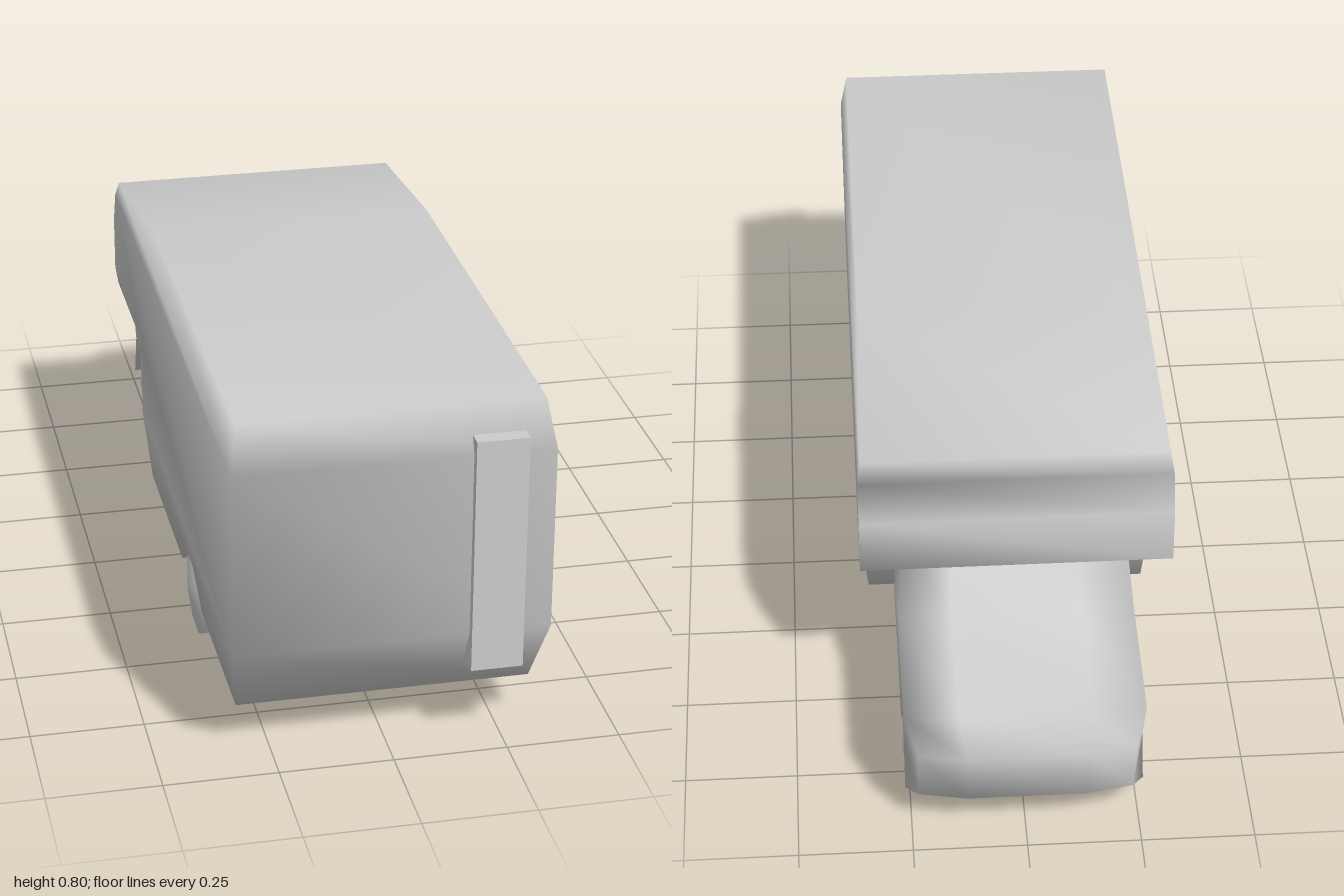
import * as THREE from 'three';

// Solid from a side outline of [z, y] points, counter-clockwise seen from +x.
// bands: index lists that tile the side; at(z, y, t): position across the width.
function sideSolid(outline, bands, columns, at) {
  const n = outline.length;
  const last = columns.length - 1;
  const positions = [];
  const index = [];
  for (const t of columns) {
    for (const [z, y] of outline) positions.push(...at(z, y, t));
  }
  for (let c = 0; c < last; c++) {
    for (let i = 0; i < n; i++) {
      const j = (i + 1) % n;
      const a = c * n, b = a + n;
      index.push(a + i, a + j, b + j, a + i, b + j, b + i);
    }
  }
  for (const band of bands) {
    const flat = band.map((i) => new THREE.Vector2(-outline[i][0], outline[i][1]));
    for (const tri of THREE.ShapeUtils.triangulateShape(flat, [])) {
      if (THREE.ShapeUtils.area(tri.map((k) => flat[k])) < 0) tri.reverse();
      const [p, q, r] = tri.map((k) => band[k]);
      index.push(last * n + p, last * n + q, last * n + r, p, r, q);
    }
  }
  const geometry = new THREE.BufferGeometry();
  geometry.setAttribute('position', new THREE.Float32BufferAttribute(positions, 3));
  geometry.setIndex(index);
  geometry.computeVertexNormals();
  return geometry;
}

export function createModel() {
  const model = new THREE.Group();
  const paint = new THREE.MeshStandardMaterial({ color: 0xcccccc });
  paint.name = 'light grey';

  function add(name, geometry, parent = model) {
    const mesh = new THREE.Mesh(geometry, paint);
    mesh.name = name;
    parent.add(mesh);
    return mesh;
  }

  // Living compartment with the bed overhang and rear wheel arches
  const bodyOutline = [
    [0.89, 0.11], [0.47, 0.105], [0.42, 0.2], [0.27, 0.2], [0.21, 0.105], [-0.22, 0.105],
    [-0.22, 0.28], [-0.22, 0.47], [-0.58, 0.47], [-0.63, 0.49], [-0.63, 0.62],
    [-0.595, 0.7], [-0.57, 0.74], [-0.1, 0.8], [0.94, 0.8], [0.98, 0.7], [0.98, 0.28],
  ];
  const bodyBands = [
    [0, 1, 2, 3, 4, 5, 6, 16],
    [16, 6, 7, 8, 9, 10, 11, 15],
    [15, 11, 12, 13, 14],
  ];
  const bodyWidth = (y) => 0.343 - Math.max(0, 0.28 - y) * 0.12 - Math.max(0, y - 0.7) * 0.16;
  add('body', sideSolid(bodyOutline, bodyBands, [-1, 1], (z, y, t) => [t * bodyWidth(y), y, z]));

  // Cab with bonnet, windscreen slope and front wheel arches
  const cabOutline = [
    [-0.22, 0.075], [-0.65, 0.075], [-0.67, 0.19], [-0.85, 0.19], [-0.885, 0.08],
    [-0.96, 0.11], [-1, 0.26], [-0.93, 0.31], [-0.61, 0.34], [-0.515, 0.475], [-0.22, 0.475],
  ];
  const cabWidth = (z, y) => (z < -0.94 ? 0.235 : y > 0.4 ? 0.25 : 0.262);
  add('cab', sideSolid(cabOutline, [cabOutline.map((_, i) => i)], [-1, -0.55, 0.55, 1], (z, y, t) => {
    const sweep = z < -0.92 && Math.abs(t) === 1 ? 0.02 : 0;
    return [t * cabWidth(z, y), y, z + sweep];
  }));

  // Sloping floor pan behind the cab
  const floorOutline = [[0.21, 0.1], [-0.22, 0.075], [-0.22, 0.13], [0.21, 0.13]];
  add('floorPan', sideSolid(floorOutline, [[0, 1, 2, 3]], [-1, 1], (z, y, t) => [t * 0.24, y, z]));

  // Raised upright panel on the end wall
  const panel = add('endPanel', new THREE.BoxGeometry(0.113, 0.54, 0.068));
  panel.position.set(0.2215, 0.47, 0.966);

  // Eight-sided wheels with domed hubs
  const r = 0.107;
  const profile = [[0, -0.045], [r, -0.035], [r, 0.035], [0, 0.053]].map(([x, y]) => new THREE.Vector2(x, y));
  const wheelGeometry = new THREE.LatheGeometry(profile, 8, Math.PI / 8);
  for (const [name, z, x] of [['rearWheel', 0.345, 0.28], ['frontWheel', -0.77, 0.212]]) {
    for (const side of [-1, 1]) {
      const wheel = add(name, wheelGeometry);
      wheel.rotation.z = -side * Math.PI / 2;
      wheel.position.set(side * x, 0.099, z);
    }
  }
  return model;
}
